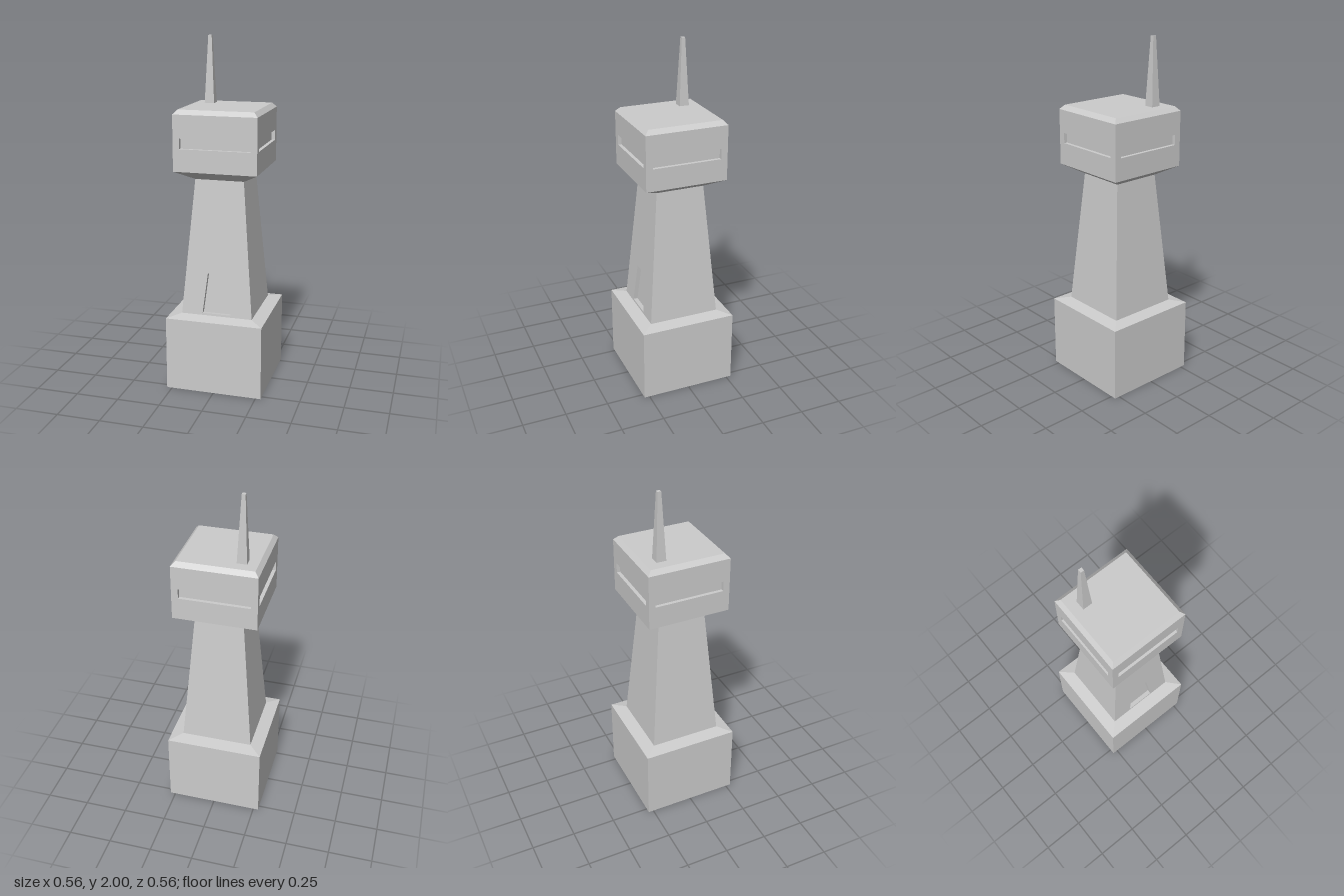
import * as THREE from 'three';

const material = new THREE.MeshStandardMaterial({ color: 0xcccccc, flatShading: true });

// Skin a sequence of four-point rings, closing the last one (and the first if wanted)
function loft(name, rings, { capStart = false, capEnd = true } = {}) {
  const positions = [];
  const quad = (a, b, c, d) => positions.push(...a, ...b, ...c, ...a, ...c, ...d);
  for (let r = 0; r + 1 < rings.length; r++) {
    const a = rings[r], b = rings[r + 1];
    for (let i = 0; i < 4; i++) {
      const j = (i + 1) % 4;
      quad(a[i], a[j], b[j], b[i]);
    }
  }
  if (capEnd) quad(...rings[rings.length - 1]);
  if (capStart) quad(...[...rings[0]].reverse());
  const geometry = new THREE.BufferGeometry();
  geometry.setAttribute('position', new THREE.Float32BufferAttribute(positions, 3));
  geometry.computeVertexNormals();
  const mesh = new THREE.Mesh(geometry, material);
  mesh.name = name;
  return mesh;
}

// Horizontal square ring of half-width h at height y
const square = (h, y) => [[-h, y, h], [h, y, h], [h, y, -h], [-h, y, -h]];

// One front-facing wall from [half-width, y] to [half-width, y], with an optional recessed opening
function wall(name, [h0, y0], [h1, y1], opening) {
  const slope = (h1 - h0) / (y1 - y0);
  const normal = new THREE.Vector2(-slope, 1).normalize(); // (y, z)
  const trapezoid = ([a, ya], [b, yb], depth = 0) =>
    [[-a, ya], [a, ya], [b, yb], [-b, yb]].map(([x, y]) =>
      [x, y - normal.x * depth, h0 + slope * (y - y0) - normal.y * depth]);
  const rings = [trapezoid([h0, y0], [h1, y1])];
  if (opening) {
    const { bottom, top, depth } = opening;
    rings.push(trapezoid(bottom, top), trapezoid(bottom, top, depth));
  }
  return loft(name, rings);
}

export function createModel() {
  const tower = new THREE.Group();
  tower.name = 'watchtower';

  // Block base with a shallow sloped top
  tower.add(loft('base', [square(0.28, 0), square(0.28, 0.43), square(0.207, 0.445)], { capStart: true }));

  // Tapered shaft with a doorway in front, and cabin walls with a window slot on every side
  const door = { bottom: [0.083, 0.457], top: [0.056, 0.692], depth: 0.025 };
  const slot = { bottom: [0.199, 1.407], top: [0.199, 1.465], depth: 0.02 };
  const shaft = new THREE.Group();
  shaft.name = 'shaft';
  const cabin = new THREE.Group();
  cabin.name = 'cabin';
  for (let i = 0; i < 4; i++) {
    const shaftWall = wall(i === 0 ? 'doorWall' : 'shaftWall', [0.207, 0.44], [0.14, 1.225], i === 0 ? door : null);
    const cabinWall = wall('windowWall', [0.237, 1.28], [0.237, 1.595], slot);
    shaftWall.rotation.y = cabinWall.rotation.y = i * Math.PI / 2;
    shaft.add(shaftWall);
    cabin.add(cabinWall);
  }

  // Flared underside and bevelled roof
  cabin.add(
    loft('cabinUnderside', [square(0.14, 1.225), square(0.237, 1.28)], { capStart: true, capEnd: false }),
    loft('roof', [square(0.237, 1.595), square(0.214, 1.62)]),
  );

  // Tapered mast on the back right corner of the roof
  const mast = loft('mast', [square(0.028, 1.62), square(0.01, 2)]);
  mast.position.set(-0.128, 0, -0.127);

  tower.add(shaft, cabin, mast);
  return tower;
}
